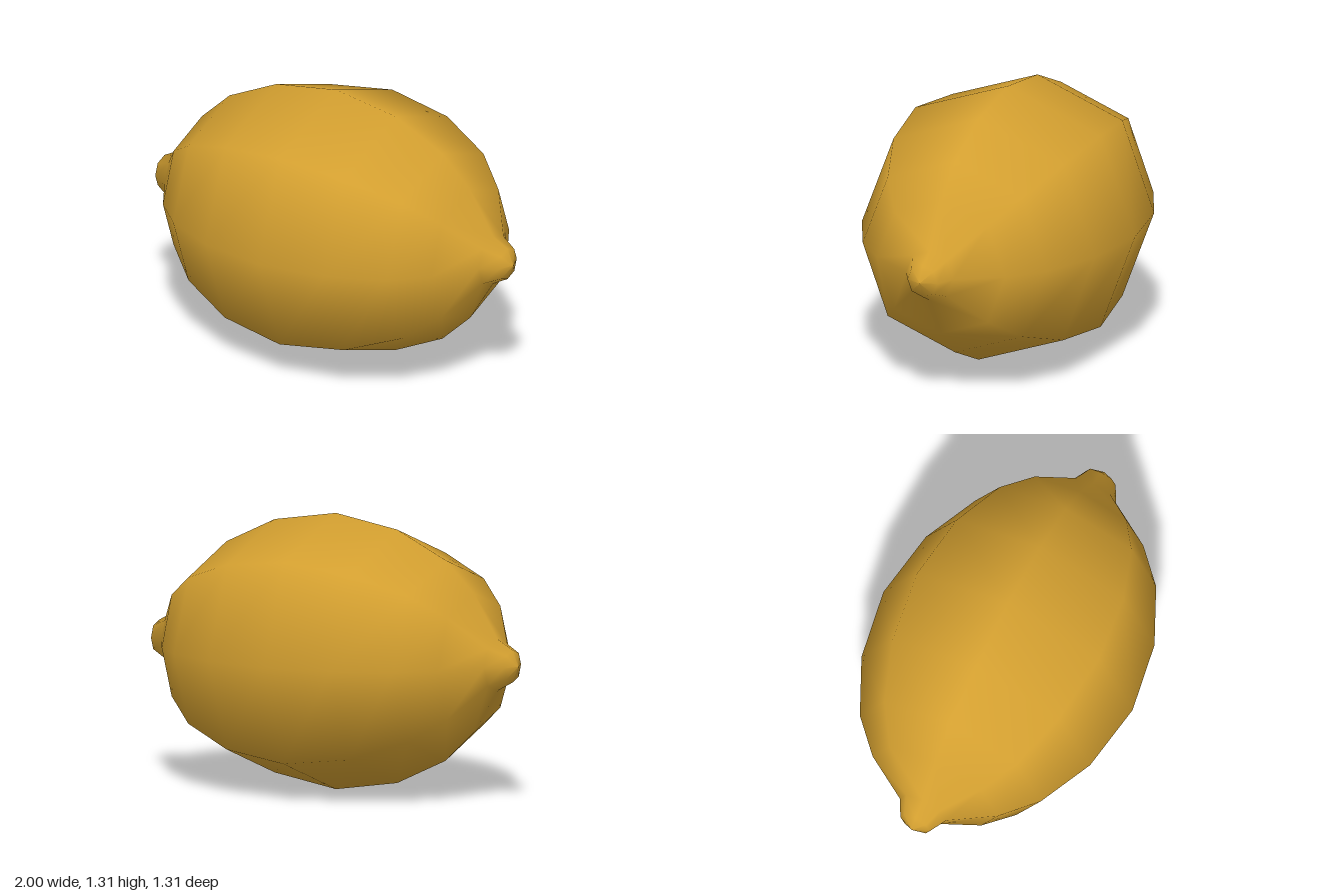
import * as THREE from 'three';

export function createModel() {
  const group = new THREE.Group();
  group.name = 'lemon';

  const peel = new THREE.MeshStandardMaterial({ color: 0xd4a030 });
  peel.name = 'lemon peel';

  // Half profile from the middle out to the nipple: [distance along axis, radius]
  const half = [
    [0, 0.654], [0.335, 0.6], [0.6, 0.475], [0.755, 0.33],
    [0.885, 0.122], [0.967, 0.077], [1, 0],
  ];
  const mirrored = half.slice(1).reverse().map(([a, r]) => [-a, r]);
  const profile = [...mirrored, ...half].map(([a, r]) => new THREE.Vector2(r, a));

  // Eight-sided smooth skin, its corners between the axes pushed out a little
  const skin = new THREE.LatheGeometry(profile, 8);
  const pos = skin.attributes.position;
  for (let i = 0; i < pos.count; i++) {
    const x = pos.getX(i), z = pos.getZ(i);
    if (Math.min(Math.abs(x), Math.abs(z)) > 0.01) {
      pos.setX(i, x * 1.03);
      pos.setZ(i, z * 1.03);
    }
  }
  skin.rotateZ(-Math.PI / 2);
  skin.translate(0, 0.655, 0);

  const fruit = new THREE.Mesh(skin, peel);
  fruit.name = 'fruit';
  group.add(fruit);
  return group;
}
